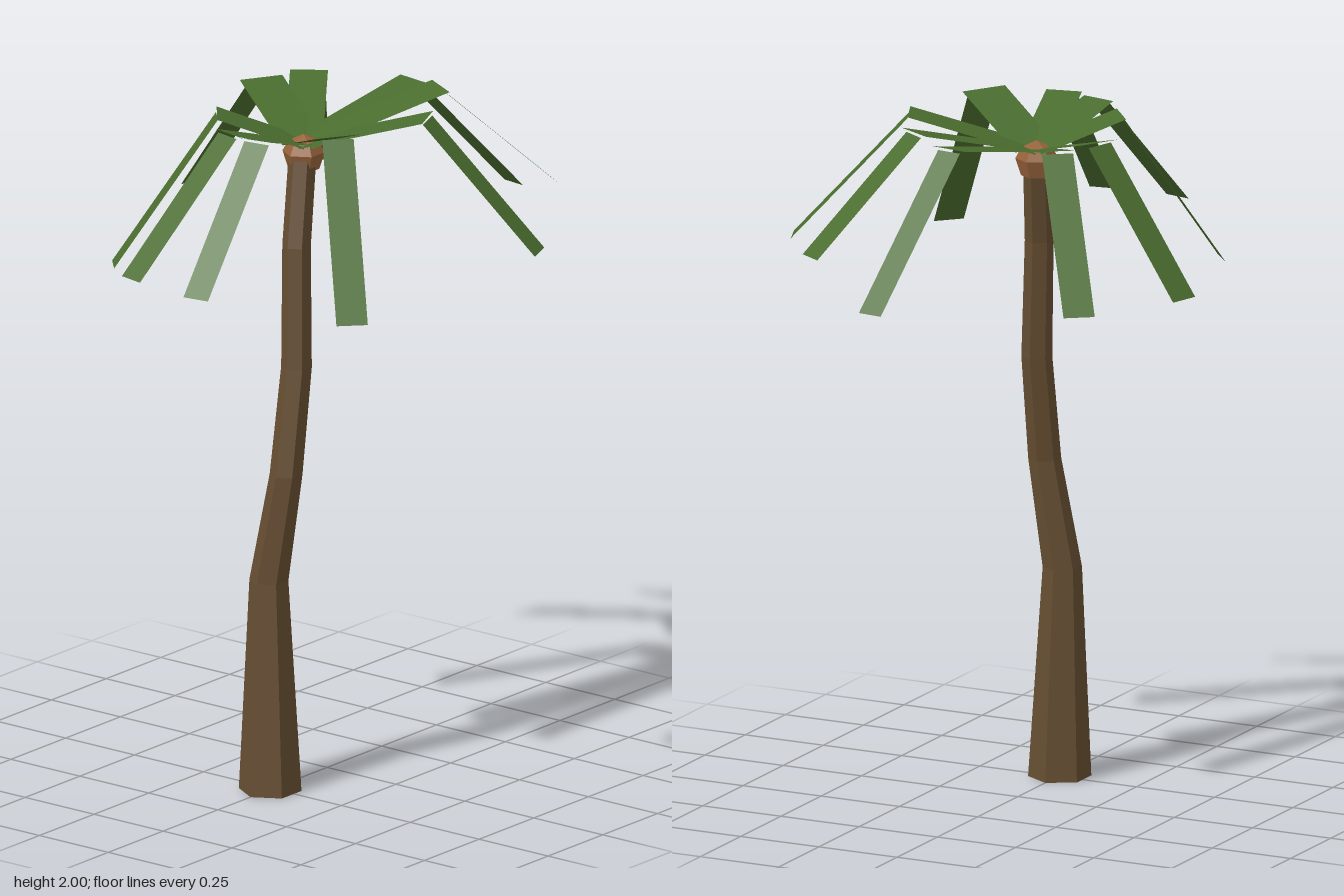
import * as THREE from 'three';

const trunkMat = new THREE.MeshStandardMaterial({ name: 'trunkBrown', color: 0x664e32, flatShading: true, side: THREE.DoubleSide });
const hubMat = new THREE.MeshStandardMaterial({ name: 'huskBrown', color: 0x96623a, flatShading: true });
const leafMat = new THREE.MeshStandardMaterial({ name: 'leafGreen', color: 0x4a6d2f, flatShading: true, side: THREE.DoubleSide });

const CROWN = new THREE.Vector3(-0.088, 1.885, -0.015);

// Open six-sided tube through rings of [x, y, z, radius]
function createTrunk() {
  const rings = [
    [-0.26, 0, 0, 0.09],
    [-0.247, 0.62, -0.015, 0.056],
    [-0.225, 0.94, 0.03, 0.047],
    [-0.18, 1.25, 0.032, 0.044],
    [-0.152, 1.6, 0.01, 0.041],
    [-0.1, 1.85, -0.01, 0.04],
  ];
  const sides = 6, pos = [], index = [];
  rings.forEach(([x, y, z, r], j) => {
    for (let i = 0; i < sides; i++) {
      const a = (i / sides) * Math.PI * 2;
      pos.push(x + r * Math.cos(a), y, z + r * Math.sin(a));
      if (j === 0) continue;
      const k = (i + 1) % sides, lo = (j - 1) * sides, hi = j * sides;
      index.push(lo + i, hi + i, lo + k, lo + k, hi + i, hi + k);
    }
  });
  const geo = new THREE.BufferGeometry();
  geo.setAttribute('position', new THREE.Float32BufferAttribute(pos, 3));
  geo.setIndex(index);
  geo.computeVertexNormals();
  const mesh = new THREE.Mesh(geo, trunkMat);
  mesh.name = 'trunk';
  return mesh;
}

// Faceted husk that the fronds grow from
function createHub() {
  const profile = [[0, 1.805], [0.045, 1.81], [0.061, 1.86], [0.044, 1.892], [0, 1.912]];
  const geo = new THREE.LatheGeometry(profile.map(([r, y]) => new THREE.Vector2(r, y)), 6, Math.PI / 2);
  const mesh = new THREE.Mesh(geo, hubMat);
  mesh.name = 'hub';
  mesh.position.set(CROWN.x, 0, CROWN.z);
  return mesh;
}

// Flat strip from a to b, level across its width
function strip(a, b, width, name) {
  const side = new THREE.Vector3(b.z - a.z, 0, a.x - b.x).normalize().multiplyScalar(width / 2);
  const corners = [a.clone().sub(side), a.clone().add(side), b.clone().sub(side), b.clone().add(side)];
  const geo = new THREE.BufferGeometry().setFromPoints(corners);
  geo.setIndex([0, 2, 1, 1, 2, 3]);
  geo.computeVertexNormals();
  if (geo.attributes.normal.getY(0) < 0) {
    geo.setIndex([0, 1, 2, 1, 3, 2]);
    geo.computeVertexNormals();
  }
  const mesh = new THREE.Mesh(geo, leafMat);
  mesh.name = name;
  return mesh;
}

// A frond rises to its fold, then droops to its tip in a narrower strip
function createFrond(fold, tip, foldWidth, tipWidth) {
  const frond = new THREE.Group();
  frond.name = 'frond';
  const f = new THREE.Vector3(...fold), t = new THREE.Vector3(...tip);
  const under = f.clone();
  under.y -= 0.008;
  frond.add(strip(CROWN, f, foldWidth, 'frondBase'), strip(under, t, tipWidth, 'frondTip'));
  return frond;
}

export function createModel() {
  const palm = new THREE.Group();
  palm.name = 'palmTree';
  palm.add(createTrunk(), createHub());

  // Fold point, tip point, base width, tip width
  const fronds = [
    [[0.34, 1.98, 0.045], [0.735, 1.58, 0.095], 0.11, 0.075],
    [[0.287, 2.0, 0.185], [0.582, 1.68, 0.365], 0.125, 0.08],
    [[0.06, 1.99, 0.317], [0.18, 1.62, 0.628], 0.125, 0.09],
    [[-0.25, 1.995, 0.238], [-0.465, 1.53, 0.46], 0.14, 0.09],
    [[-0.385, 1.98, 0.05], [-0.733, 1.605, 0.105], 0.105, 0.08],
    [[-0.37, 1.975, -0.068], [-0.72, 1.612, -0.14], 0.105, 0.08],
    [[-0.245, 1.975, -0.205], [-0.445, 1.53, -0.423], 0.125, 0.075],
    [[0.22, 1.98, -0.24], [0.523, 1.59, -0.465], 0.108, 0.09],
    [[0.08, 1.98, -0.303], [0.178, 1.58, -0.623], 0.13, 0.09],
  ];
  fronds.forEach((f) => palm.add(createFrond(...f)));
  return palm;
}
